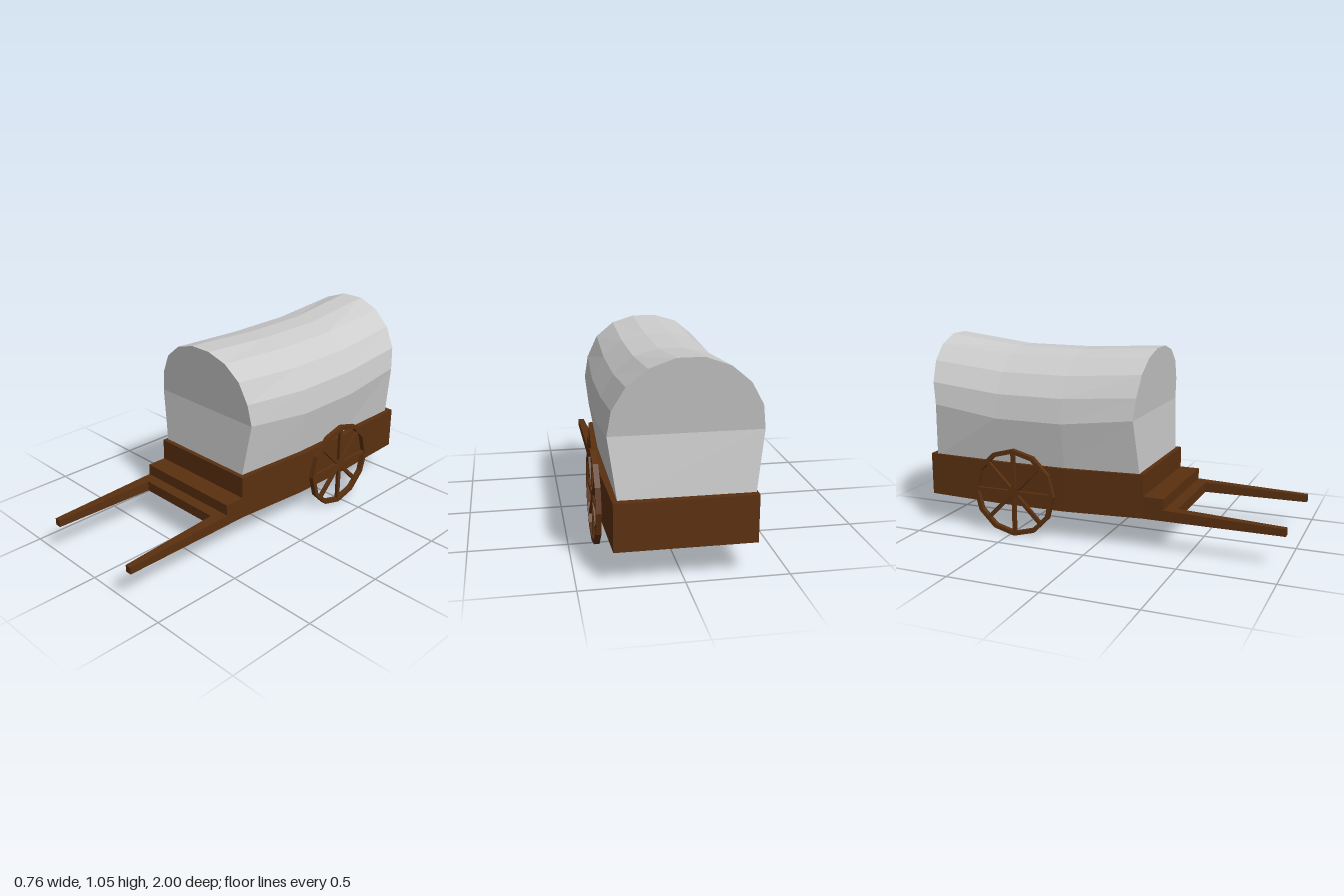
import * as THREE from 'three';

const wood = new THREE.MeshStandardMaterial({ color: 0x5a3010, flatShading: true });
const cloth = new THREE.MeshStandardMaterial({ color: 0xcccccc, flatShading: true, side: THREE.DoubleSide });

function add(parent, name, geometry, material = wood) {
  const mesh = new THREE.Mesh(geometry, material);
  mesh.name = name;
  parent.add(mesh);
  return mesh;
}

// Box whose rectangle changes along z; sections run back to front as [z, x0, x1, y0, y1]
function beam(sections) {
  const n = sections.length - 1;
  const geo = new THREE.BoxGeometry(1, 1, 1, 1, 1, n);
  const p = geo.attributes.position;
  for (let i = 0; i < p.count; i++) {
    const [z, x0, x1, y0, y1] = sections[Math.round((p.getZ(i) + 0.5) * n)];
    p.setXYZ(i, p.getX(i) > 0 ? x1 : x0, p.getY(i) > 0 ? y1 : y0, z);
  }
  return geo;
}

// Cloth cover: arched cross-sections joined front to back, with folded end panels
function coverGeometry() {
  const cx = -0.012;
  const front = [[0.295, 0.4], [0.343, 0.695], [0.323, 0.81], [0.27, 0.92], [0.178, 0.995], [0.0625, 1.03]];
  const middle = [[0.32, 0.4], [0.363, 0.65], [0.343, 0.78], [0.28, 0.89], [0.185, 0.975], [0.0625, 1.005]];
  const back = [[0.32, 0.4], [0.361, 0.7], [0.343, 0.82], [0.28, 0.93], [0.185, 1.01], [0.0625, 1.055]];
  // each station: half profile, z at the hem, at the belt and at the crown
  const stations = [
    [front, 0.235, 0.215, 0.245],
    [middle, -0.18, -0.18, -0.18],
    [middle, -0.56, -0.56, -0.56],
    [back, -0.965, -0.935, -0.995],
  ];
  const rings = stations.map(([half, zHem, zBelt, zTop]) => {
    const belt = half[1][1], top = half[5][1];
    const point = (side) => ([x, y], i) => [
      cx + side * x, y,
      i === 0 ? zHem : zBelt + (zTop - zBelt) * (y - belt) / (top - belt),
    ];
    return [...half.map(point(1)), ...half.map(point(-1)).reverse()];
  });
  const out = [];
  const tri = (a, b, c) => out.push(...a, ...b, ...c);
  for (let s = 0; s < rings.length - 1; s++) {
    const a = rings[s], b = rings[s + 1];
    for (let i = 0; i < 11; i++) {
      tri(a[i], b[i], b[i + 1]);
      tri(a[i], b[i + 1], a[i + 1]);
    }
  }
  const cap = (r, put) => {
    put(r[0], r[1], r[10]);
    put(r[0], r[10], r[11]);
    for (let i = 2; i < 10; i++) put(r[1], r[i], r[i + 1]);
  };
  cap(rings[0], tri);
  cap(rings[3], (a, b, c) => tri(a, c, b));
  const geo = new THREE.BufferGeometry();
  geo.setAttribute('position', new THREE.Float32BufferAttribute(out, 3));
  geo.computeVertexNormals();
  return geo;
}

// Twelve-sided wheel with four crossing bars, built flat in xy
function makeWheel(name) {
  const wheel = new THREE.Group();
  wheel.name = name;
  const R = 0.243, width = 0.028;
  const ring = (r) => Array.from({ length: 12 }, (_, i) =>
    new THREE.Vector2(r * Math.cos(i * Math.PI / 6), r * Math.sin(i * Math.PI / 6)));
  const shape = new THREE.Shape(ring(R));
  shape.holes.push(new THREE.Path(ring(R - 0.023).reverse()));
  const rim = new THREE.ExtrudeGeometry(shape, { depth: width, bevelEnabled: false });
  add(wheel, 'rim', rim.translate(0, 0, -width / 2));
  for (let i = 0; i < 4; i++) {
    const spoke = add(wheel, 'spokes', new THREE.BoxGeometry(2 * R - 0.03, 0.021, 0.018));
    spoke.rotation.z = i * Math.PI / 4;
  }
  wheel.rotation.y = Math.PI / 2;
  return wheel;
}

export function createModel() {
  const model = new THREE.Group();
  model.name = 'coveredCart';
  const cx = -0.004;

  // Bed, slightly bowed out in the middle
  add(model, 'bed', beam([
    [-1, cx - 0.337, cx + 0.337, 0.175, 0.41],
    [-0.56, cx - 0.349, cx + 0.349, 0.169, 0.405],
    [-0.18, cx - 0.347, cx + 0.347, 0.169, 0.405],
    [0.26, cx - 0.316, cx + 0.316, 0.175, 0.41],
  ]));

  // Driver's step and footboard
  add(model, 'step', beam([
    [0.26, cx - 0.316, cx + 0.316, 0.175, 0.293],
    [0.37, cx - 0.316, cx + 0.316, 0.175, 0.293],
  ]));
  add(model, 'footboard', beam([
    [0.37, cx - 0.316, cx + 0.316, 0.175, 0.233],
    [0.43, cx - 0.316, cx + 0.316, 0.175, 0.231],
  ]));

  // Pulling shafts, tapering forward
  for (const side of [1, -1]) {
    const section = (z, inner, outer, top) => {
      const xs = [cx + side * inner, cx + side * outer].sort((a, b) => a - b);
      return [z, ...xs, 0.175, top];
    };
    add(model, side > 0 ? 'leftShaft' : 'rightShaft',
      beam([section(0.43, 0.256, 0.316, 0.231), section(1, 0.277, 0.312, 0.213)]));

    const wheel = makeWheel(side > 0 ? 'leftWheel' : 'rightWheel');
    wheel.position.set(side * 0.364, 0.245, -0.47);
    model.add(wheel);
  }

  add(model, 'cover', coverGeometry(), cloth);
  return model;
}
